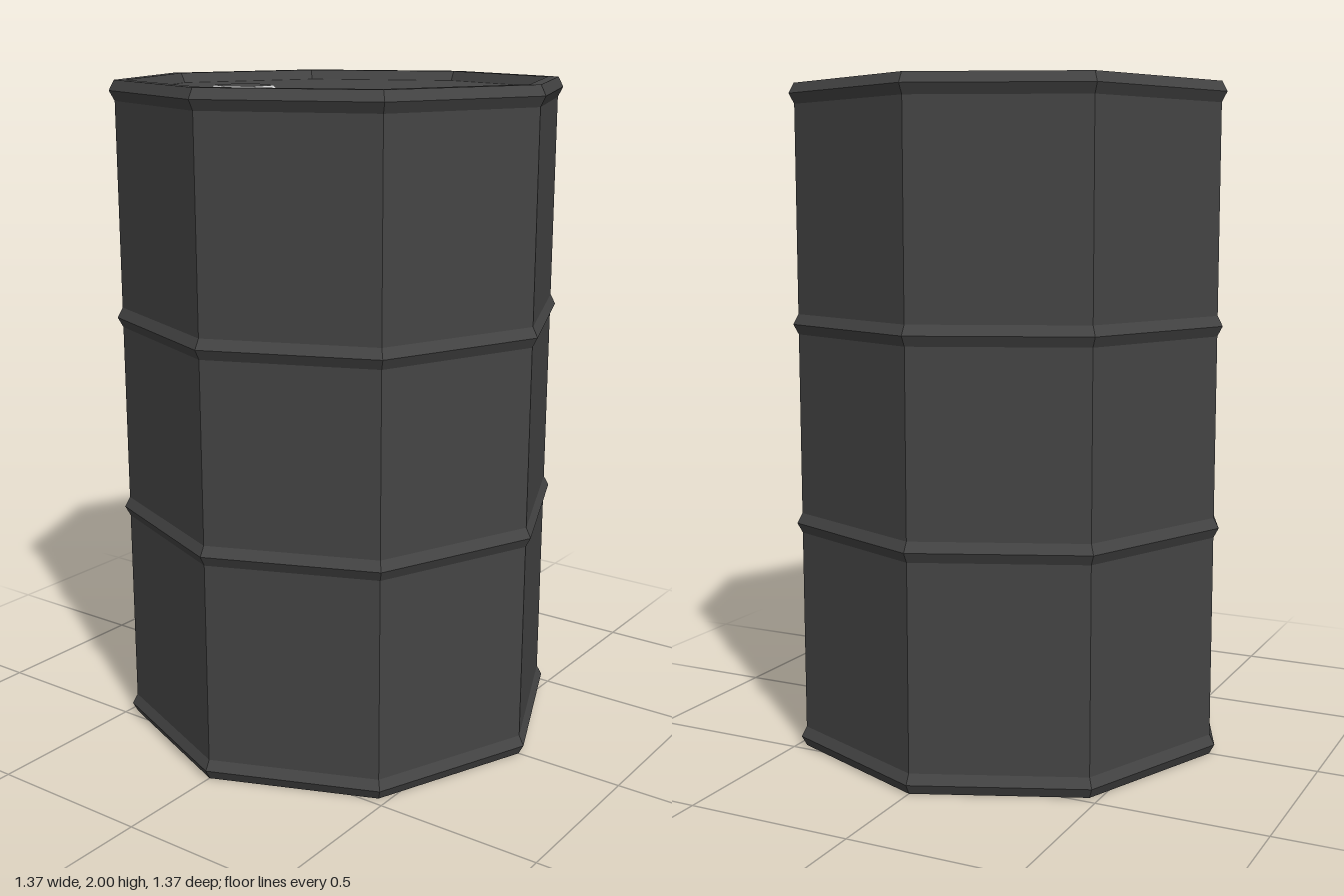
import * as THREE from 'three';

const steel = new THREE.MeshStandardMaterial({ color: 0x444444, flatShading: true });
const capMetal = new THREE.MeshStandardMaterial({ color: 0xcccccc, flatShading: true });

const SIDES = 8, BODY = 0.667, RIDGE = 0.683, HEIGHT = 2, BEVEL = 0.03;

function addMesh(group, name, geometry, material) {
  const mesh = new THREE.Mesh(geometry, material);
  mesh.name = name;
  group.add(mesh);
  return mesh;
}

export function createModel() {
  const barrel = new THREE.Group();
  barrel.name = 'barrel';

  // Shell: bottom recess, rims and rolling hoops, top recess in one profile
  const profile = [[0, BEVEL], [0.618, BEVEL], [0.633, 0]];
  for (const y of [BEVEL, 0.7, 1.3, HEIGHT - BEVEL]) {
    profile.push([BODY, y - BEVEL], [RIDGE, y], [BODY, y + BEVEL]);
  }
  profile.push([0.633, HEIGHT], [0.618, HEIGHT - BEVEL], [0, HEIGHT - BEVEL]);
  const points = profile.map(([r, y]) => new THREE.Vector2(r, y));
  addMesh(barrel, 'drumShell', new THREE.LatheGeometry(points, SIDES), steel);

  // Hexagonal filler cap on the lid: bright bevelled side, dark top
  const cap = new THREE.Group();
  cap.name = 'fillerCap';
  cap.position.set(-0.455, HEIGHT - BEVEL, 0);
  cap.rotation.y = Math.PI / 6;
  const side = addMesh(cap, 'capSide', new THREE.CylinderGeometry(0.082, 0.107, 0.028, 6, 1, true), capMetal);
  side.position.y = 0.014;
  const top = addMesh(cap, 'capTop', new THREE.CircleGeometry(0.082, 6, Math.PI / 2), steel);
  top.rotation.x = -Math.PI / 2;
  top.position.y = 0.028;
  barrel.add(cap);

  return barrel;
}
